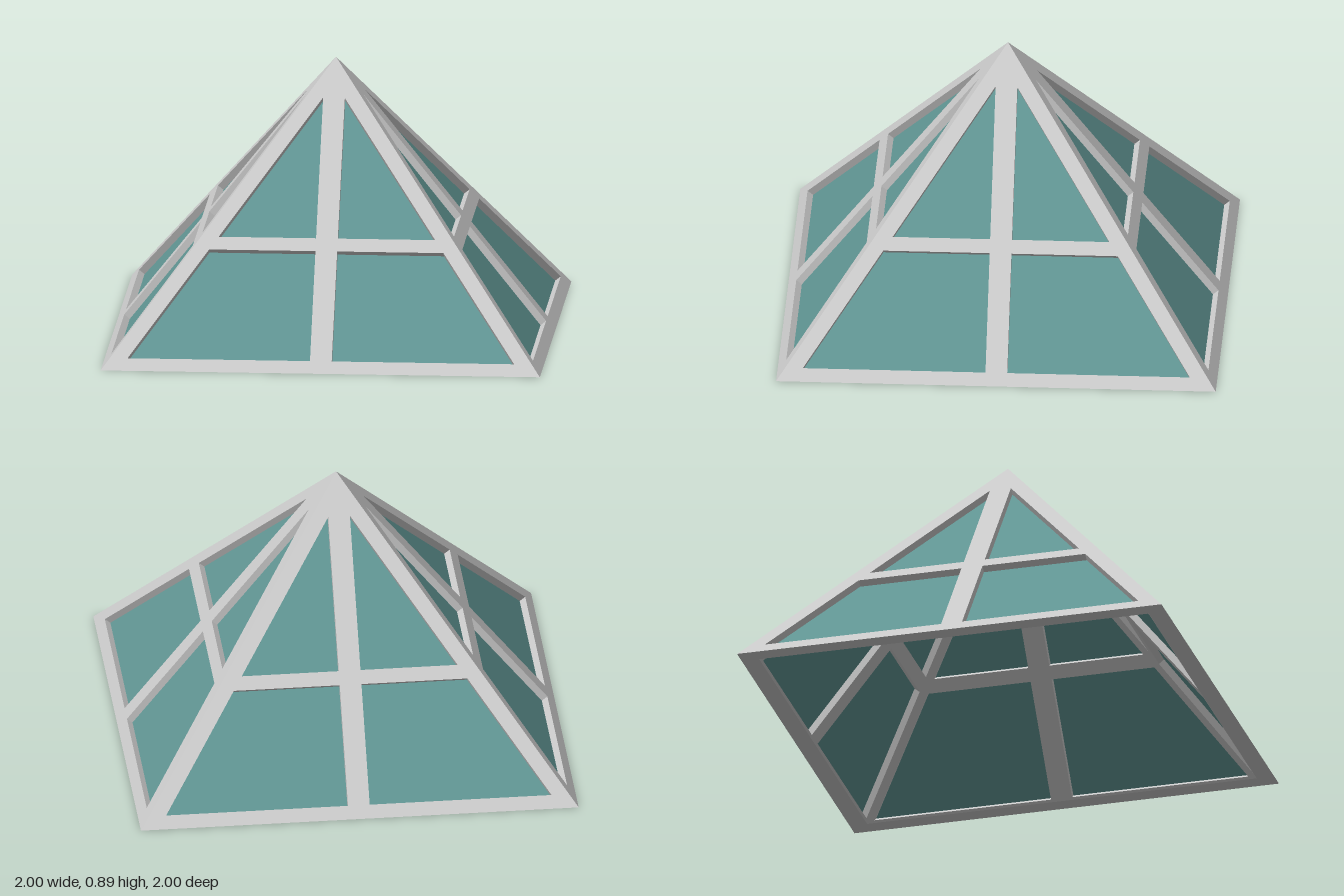
import * as THREE from 'three';

const H = 0.886;                    // height of the apex
const R = Math.SQRT1_2;             // distance from the axis to a base edge
const S = Math.hypot(H, R);         // slope length of one face
const SIN = H / S, COS = R / S;     // pitch of a face
const T = 0.045;                    // thickness of the frame
const GLASS_DEPTH = 0.023;          // recess of the panes

// Corners of a face at a given depth below its surface, mitred to the
// neighbouring faces and cut flat on the ground (u across, v up the slope).
function faceCorners(depth) {
  const half = R - depth / SIN;
  const bottom = depth * COS / SIN;
  const top = S - depth * SIN / COS;
  return [[-half, bottom], [half, bottom], [0, top]];
}

const toShape = (pts) => new THREE.Shape(pts.map(([u, v]) => new THREE.Vector2(u, v)));

// Triangular frame with four openings around a mullion and a cross rail
function frameGeometry() {
  const shape = toShape(faceCorners(0));
  const inner = 0.035, hip = 0.0566;
  const edge = (v) => (S - v) * R / S - hip;
  const peak = S - (inner + hip) * S / R;
  const low = 0.045, railLow = 0.438, railHigh = 0.484;
  for (const m of [1, -1]) {
    const lower = [[inner, low], [edge(low), low], [edge(railLow), railLow], [inner, railLow]];
    const upper = [[inner, railHigh], [edge(railHigh), railHigh], [inner, peak]];
    for (const pts of [lower, upper]) {
      shape.holes.push(new THREE.Path(pts.map(([u, v]) => new THREE.Vector2(m * u, v))));
    }
  }
  const geo = new THREE.ExtrudeGeometry(shape, { depth: T, bevelEnabled: false });

  // Pull the outline at the back in to the mitre
  const [left, right, top] = faceCorners(T);
  const pos = geo.attributes.position;
  for (let i = 0; i < pos.count; i++) {
    if (pos.getZ(i) > 1e-5) continue;
    const v = pos.getY(i);
    if (v < 1e-5) pos.setXY(i, ...(pos.getX(i) < 0 ? left : right));
    else if (v > S - 1e-5) pos.setXY(i, ...top);
  }
  geo.translate(0, 0, -T);
  geo.computeVertexNormals();
  return geo;
}

export function createModel() {
  const model = new THREE.Group();
  model.name = 'pyramidSkylight';

  const frameMat = new THREE.MeshStandardMaterial({ color: 0xcccccc });
  const glassMat = new THREE.MeshStandardMaterial({ color: 0x619694, side: THREE.DoubleSide });

  const frameGeo = frameGeometry();
  const glassGeo = new THREE.ShapeGeometry(toShape(faceCorners(GLASS_DEPTH)));
  glassGeo.translate(0, 0, -GLASS_DEPTH);

  // Four sloping faces, turned so that the corners lie on the x and z axes
  ['frontLeft', 'backLeft', 'backRight', 'frontRight'].forEach((side, i) => {
    const turn = new THREE.Group();
    turn.name = side + 'Face';
    turn.rotation.y = Math.PI / 4 + i * Math.PI / 2;

    const slope = new THREE.Group();
    slope.name = side + 'Slope';
    slope.position.z = R;
    slope.rotation.x = -Math.atan2(R, H);

    const frame = new THREE.Mesh(frameGeo, frameMat);
    frame.name = side + 'Frame';
    const glass = new THREE.Mesh(glassGeo, glassMat);
    glass.name = side + 'Glass';

    slope.add(frame, glass);
    turn.add(slope);
    model.add(turn);
  });
  return model;
}
